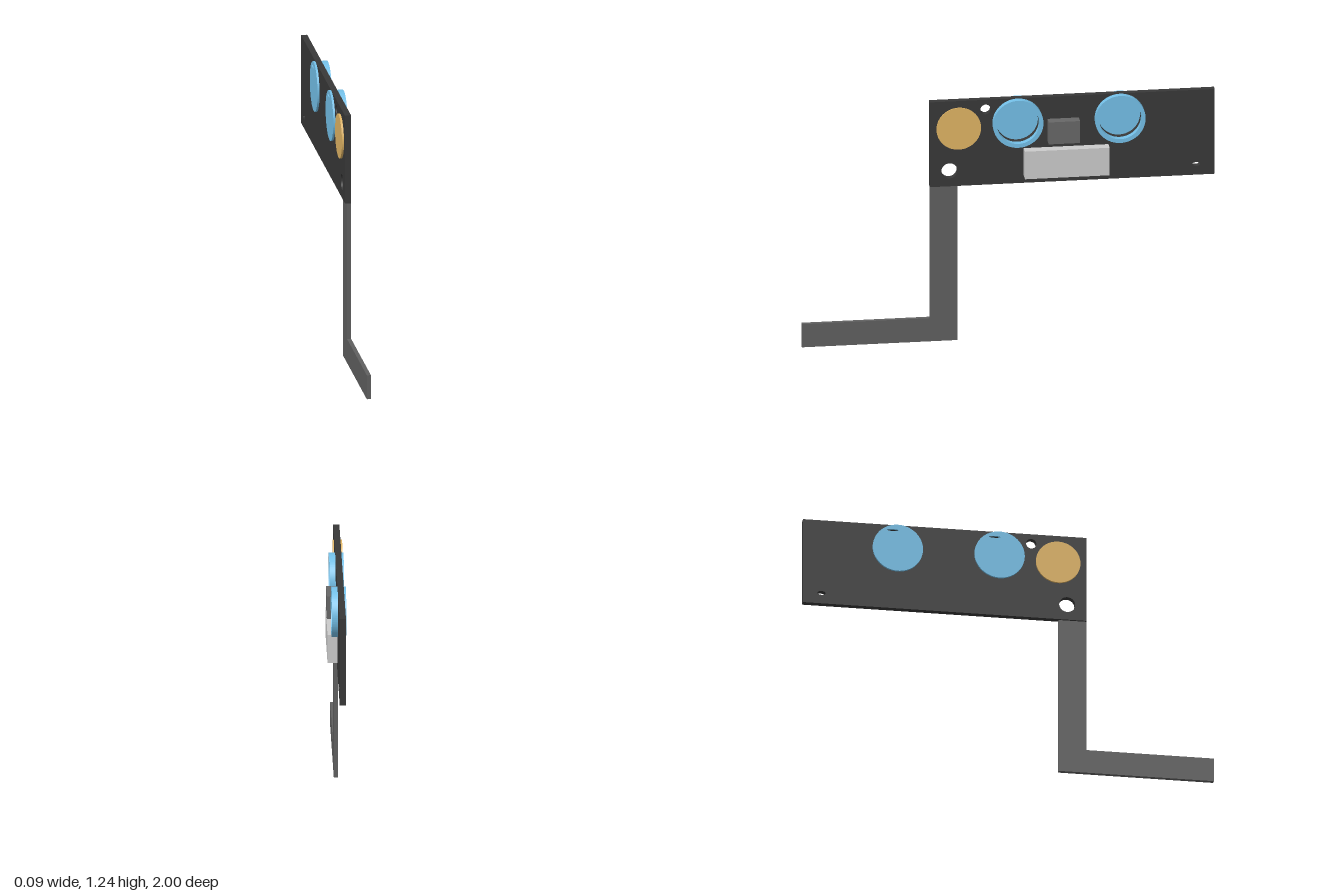
import * as THREE from 'three';

const mat = (color) => new THREE.MeshStandardMaterial({ color, flatShading: true });
const BOARD = mat(0x383838), ARM = mat(0x606060), CHIP = mat(0x686868);
const LIGHT = mat(0xcccccc), BLUE = mat(0x74c0e8), GOLD = mat(0xe0b464);

// Circle or ellipse outline in the side plane, given as z, y
function round(Type, z, y, rz, ry = rz) {
  return new Type().absellipse(-z, y, rz, ry, 0, Math.PI * 2, false, 0);
}

// Extrudes a side-plane shape (drawn in -z, y) between x0 and x1
function slab(name, shape, x0, x1, material) {
  const geo = new THREE.ExtrudeGeometry(shape, { depth: x1 - x0, bevelEnabled: false, curveSegments: 40 });
  geo.rotateY(Math.PI / 2).translate(x0, 0, 0);
  const mesh = new THREE.Mesh(geo, material);
  mesh.name = name;
  return mesh;
}

// Polygon from [z, y] corners
const polygon = (pts) => new THREE.Shape(pts.map(([z, y]) => new THREE.Vector2(-z, y)));

function block(name, x0, x1, y0, y1, z0, z1, material) {
  const mesh = new THREE.Mesh(new THREE.BoxGeometry(x1 - x0, y1 - y0, z1 - z0), material);
  mesh.position.set((x0 + x1) / 2, (y0 + y1) / 2, (z0 + z1) / 2);
  mesh.name = name;
  return mesh;
}

export function createModel() {
  const group = new THREE.Group();
  const cups = [-0.045, -0.54], cupY = 1.117;

  // Board with mounting holes and openings behind the cups
  const board = polygon([[0.38, 0.8], [-1, 0.8], [-1, 1.24], [0.38, 1.24]]);
  board.holes.push(
    round(THREE.Path, 0.285, 0.88, 0.039),
    round(THREE.Path, 0.11, 1.19, 0.025),
    round(THREE.Path, -0.91, 0.855, 0.02, 0.01),
    ...cups.map((z) => round(THREE.Path, z, cupY, 0.102)),
  );
  group.add(slab('board', board, -0.035, -0.005, BOARD));

  // L-shaped arm: upright and foot
  const arm = polygon([[0.38, 0.8], [0.38, 0.12], [1, 0.12], [1, 0], [0.245, 0], [0.245, 0.8]]);
  group.add(slab('arm', arm, -0.025, -0.005, ARM));

  // Round cups: raised rim on one side, slotted floor on the other
  for (const z of cups) {
    const cup = new THREE.Group();
    cup.name = 'cup';
    const rim = round(THREE.Shape, z, cupY, 0.122);
    rim.holes.push(round(THREE.Path, z, cupY, 0.102));
    const floor = round(THREE.Shape, z, cupY, 0.122);
    floor.holes.push(round(THREE.Path, z - 0.025, cupY + 0.092, 0.028, 0.005));
    cup.add(slab('cupRim', rim, -0.005, 0.025, BLUE), slab('cupFloor', floor, -0.045, -0.035, BLUE));
    group.add(cup);
  }

  // Gold disc through the board
  group.add(slab('goldDisc', round(THREE.Shape, 0.24, 1.098, 0.108), -0.045, 0, GOLD));

  // Raised blocks
  group.add(block('smallBlock', -0.006, 0.042, 1.012, 1.126, -0.342, -0.19, CHIP));
  group.add(block('largeBlock', -0.006, 0.042, 0.837, 0.98, -0.485, -0.075, LIGHT));
  return group;
}
